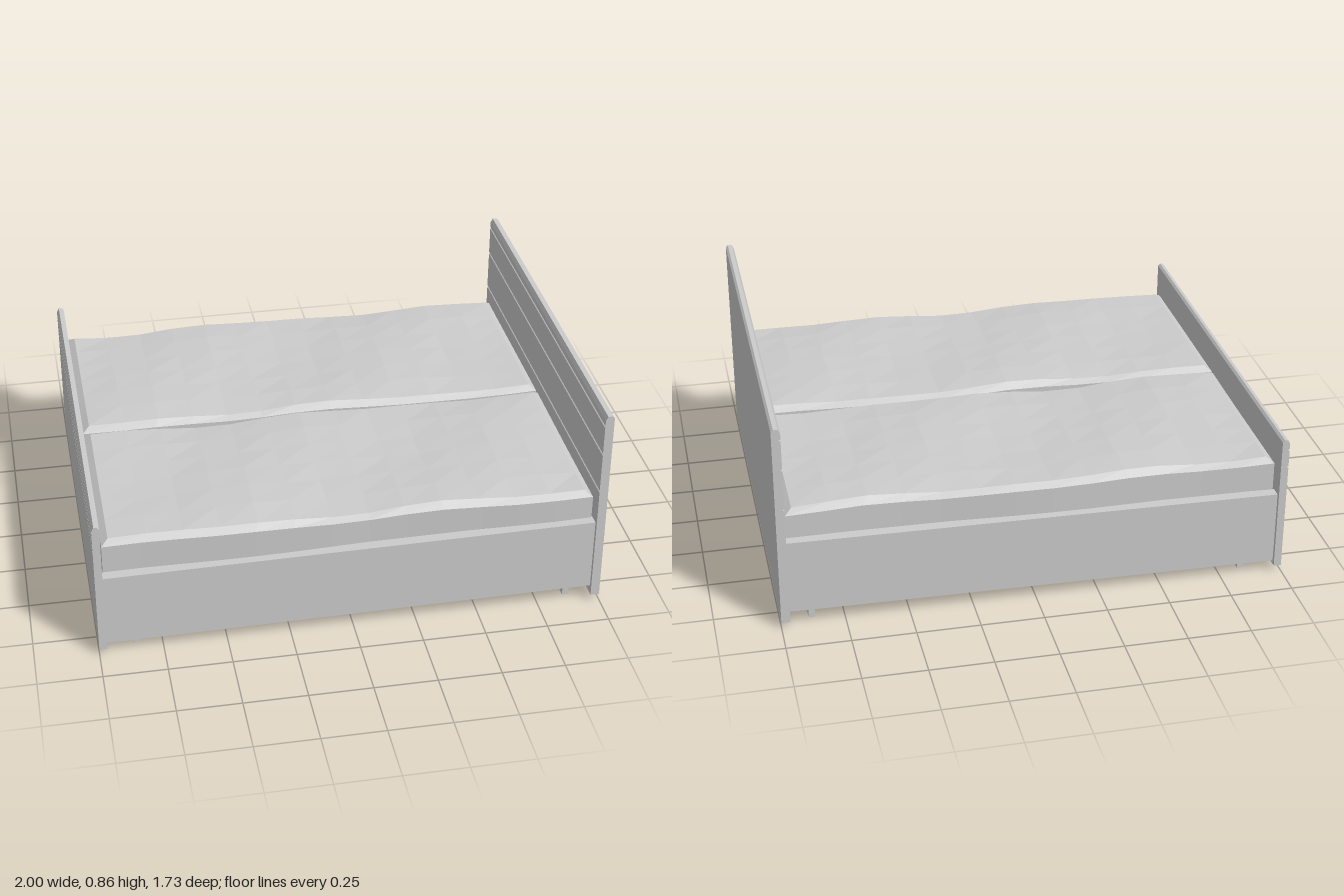
import * as THREE from 'three';

const material = new THREE.MeshStandardMaterial({ color: 0xcccccc, flatShading: true, side: THREE.DoubleSide });

function addMesh(parent, name, geometry, x = 0, y = 0, z = 0) {
  const mesh = new THREE.Mesh(geometry, material);
  mesh.name = name;
  mesh.position.set(x, y, z);
  parent.add(mesh);
  return mesh;
}

// End board: chamfered top and V-grooves on the decorated (-x) face, swept along z
function boardGeometry(x0, x1, y0, y1, grooves, halfLength) {
  const c = 0.009, g = 0.005;
  const pts = [[x0, y0], [x1, y0], [x1, y1 - c], [x1 - c, y1], [x0 + c, y1], [x0, y1 - 2 * c]];
  for (const y of grooves) pts.push([x0, y + g], [x0 + 0.007, y], [x0, y - g]);
  const shape = new THREE.Shape(pts.map(p => new THREE.Vector2(...p)));
  return new THREE.ExtrudeGeometry(shape, { depth: halfLength * 2, bevelEnabled: false })
    .translate(0, 0, -halfLength);
}

// Soft mattress: segmented box with eased upper edges and a gently uneven surface
function mattressGeometry(z0, z1, phase) {
  const geo = new THREE.BoxGeometry(2, 3, 2, 13, 3, 6);
  const pos = geo.attributes.position;
  const levels = [0.30, 0.36, 0.462, 0.482];
  const insets = [0, 0, 0, 0.028];
  const halfX = 0.962, halfZ = (z1 - z0) / 2, midZ = (z0 + z1) / 2;
  for (let i = 0; i < pos.count; i++) {
    const u = pos.getX(i), v = pos.getZ(i);
    const row = Math.round(pos.getY(i) + 1.5);
    const inset = insets[row];
    const x = u * (halfX - inset);
    const inner = Math.max(Math.abs(u), Math.abs(v)) < 0.99 ? 1 : 0;
    const wave = 0.008 * Math.sin(6.5 * x + phase + 1.6 * v) + 0.005 * Math.sin(11 * x - 2.5 * v + phase * 2);
    const fade = 1 - 0.6 * Math.pow(Math.abs(u), 6);
    const lift = row === 3 ? inner * 0.005 + wave * fade : wave * 0.5 * fade;
    const side = 0.007 * Math.sin(5 * x + phase) * Math.abs(v) * fade;
    pos.setXYZ(i, x - 0.002, levels[row] + lift, midZ + v * (halfZ - inset) + side);
  }
  return geo;
}

export function createModel() {
  const bed = new THREE.Group();
  bed.name = 'doubleBed';

  // Tall headboard and low footboard
  addMesh(bed, 'headboard', boardGeometry(0.965, 1, 0.025, 0.86, [0.815, 0.69, 0.52], 0.865));
  addMesh(bed, 'footboard', boardGeometry(-1, -0.97, 0.025, 0.593, [0.55, 0.475], 0.865));

  // Side rails, rising slightly towards the headboard
  for (const s of [-1, 1]) {
    const rail = addMesh(bed, s > 0 ? 'frontRail' : 'backRail',
      new THREE.BoxGeometry(1.938, 0.304, 0.045), -0.002, 0.203, s * 0.827);
    rail.rotation.z = 0.0105;
  }

  // Floor runners across the bed
  addMesh(bed, 'footRunner', new THREE.BoxGeometry(0.025, 0.042, 1.62), -0.848, 0.021, 0);
  addMesh(bed, 'headRunner', new THREE.BoxGeometry(0.025, 0.062, 1.62), 0.877, 0.031, 0);

  // Pair of mattresses side by side
  addMesh(bed, 'frontMattress', mattressGeometry(0.008, 0.808, 3.4));
  addMesh(bed, 'backMattress', mattressGeometry(-0.808, -0.008, 5.2));
  return bed;
}
